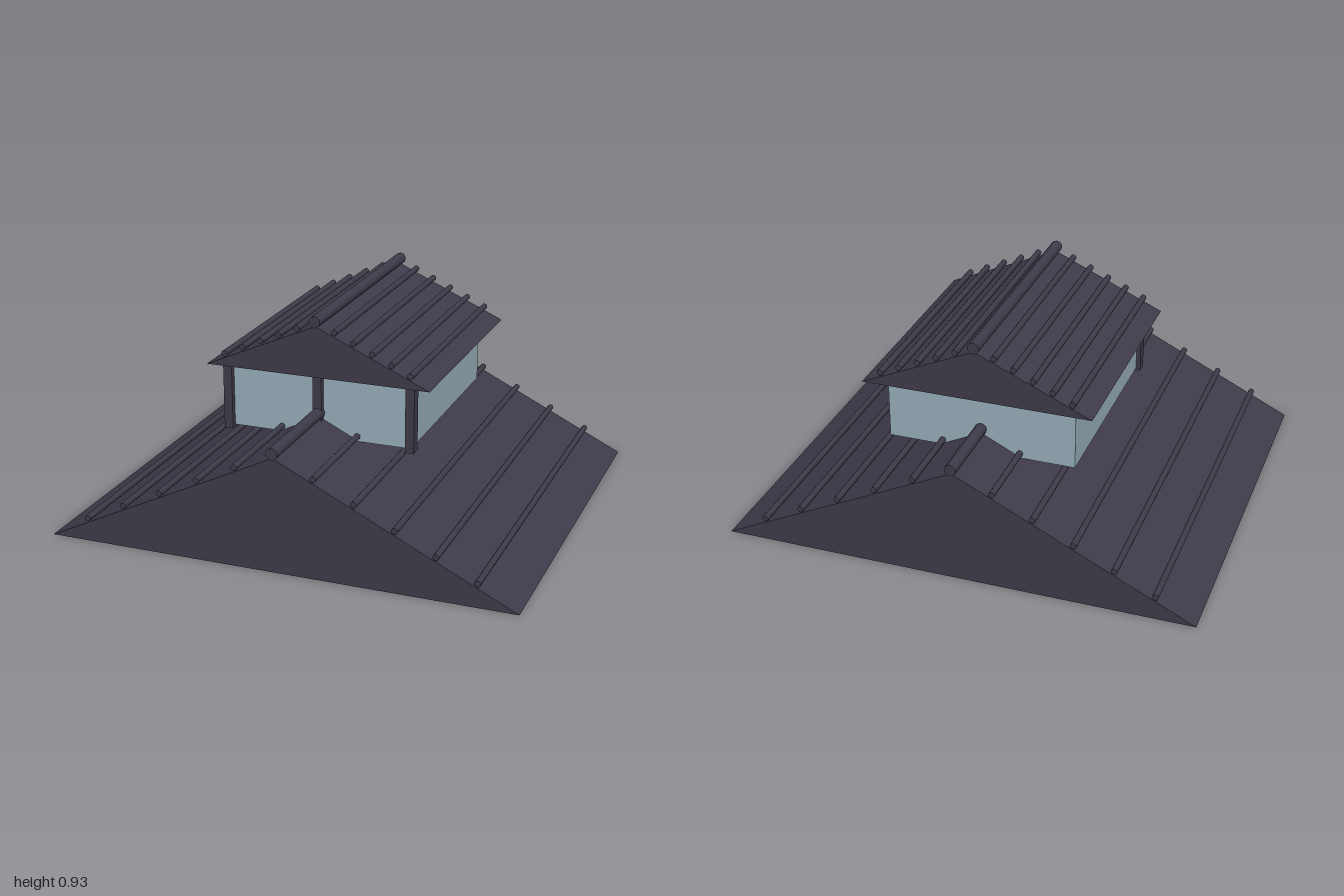
import * as THREE from 'three';

const slate = new THREE.MeshStandardMaterial({ color: 0x3f3b4a });
slate.name = 'slate';
const glass = new THREE.MeshStandardMaterial({ color: 0x98afbb });
glass.name = 'glass';

function add(parent, name, geometry, material, x = 0, y = 0, z = 0) {
  const mesh = new THREE.Mesh(geometry, material);
  mesh.name = name;
  mesh.position.set(x, y, z);
  parent.add(mesh);
  return mesh;
}

// Rod lying along z
function rod(radius, length) {
  return new THREE.CylinderGeometry(radius, radius, length, 12).rotateX(Math.PI / 2);
}

// Gabled prism with evenly spaced seam ribs and a ridge cap
function gableRoof(name, { half, base, peak, back, front, ribs }) {
  const roof = new THREE.Group();
  roof.name = name;
  const length = front - back;
  const mid = (front + back) / 2;

  const gable = new THREE.Shape();
  gable.moveTo(-half, base);
  gable.lineTo(half, base);
  gable.lineTo(0, peak);
  gable.closePath();
  const prism = new THREE.ExtrudeGeometry(gable, { depth: length, bevelEnabled: false });
  add(roof, 'gable', prism, slate, 0, 0, back);

  for (const side of [-1, 1]) {
    for (let i = 1; i <= ribs; i++) {
      const t = i / (ribs + 1);
      const y = peak + (base - peak) * t + 0.018;
      add(roof, 'seamRib', rod(0.013, length), slate, side * half * t, y, mid);
    }
  }
  add(roof, 'ridgeCap', rod(0.025, length + 0.02), slate, 0, peak + 0.02, mid);
  return roof;
}

export function createModel() {
  const model = new THREE.Group();
  model.name = 'tieredRoof';

  model.add(gableRoof('lowerRoof',
    { half: 1, base: 0, peak: 0.487, back: -0.867, front: 0.867, ribs: 5 }));
  model.add(gableRoof('upperRoof',
    { half: 0.487, base: 0.67, peak: 0.887, back: -0.6, front: 0.423, ribs: 5 }));

  // Glazed clerestory between the two roofs
  add(model, 'clerestoryGlass', new THREE.BoxGeometry(0.8, 0.27, 0.92), glass, 0, 0.537, -0.075);

  // Front posts
  for (const x of [-0.4, 0, 0.4]) {
    add(model, 'frontPost', new THREE.BoxGeometry(0.038, 0.28, 0.048), slate, x, 0.532, 0.385);
  }
  return model;
}
